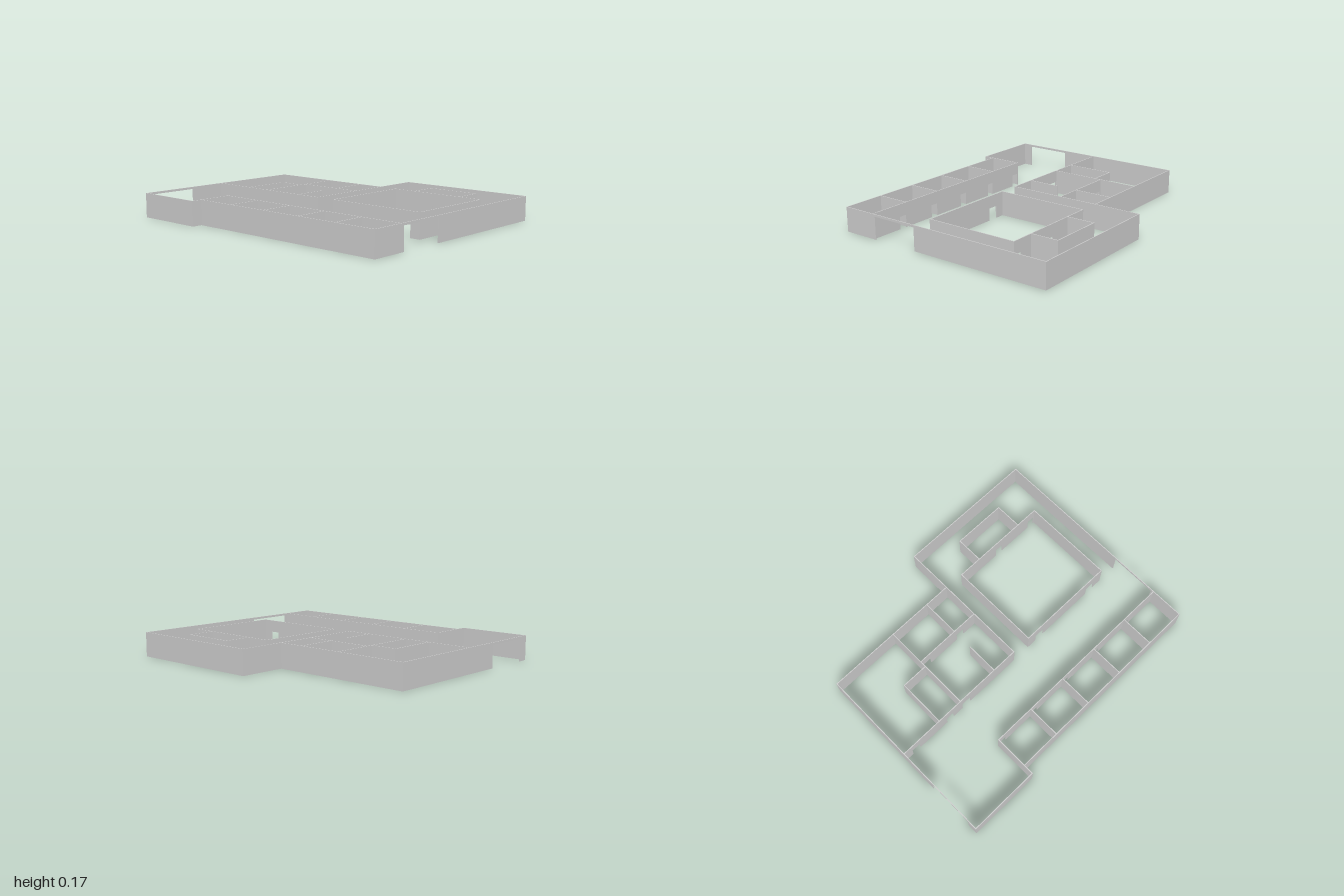
import * as THREE from 'three';

const H = 0.17;        // wall height
const T = 0.006;       // wall thickness
const DOOR = 0.085;    // door height
const GATE = 0.155;    // height of the wide passages

const material = new THREE.MeshStandardMaterial({ color: 0xcccccc, flatShading: true });

// A straight wall from a to b with openings [start, end, height] cut up from the floor.
// axis 'x': runs along x at z = at; axis 'z': runs along z at x = at.
function wall(name, axis, at, a, b, openings = []) {
  const shape = new THREE.Shape();
  shape.moveTo(a - T / 2, 0);
  for (const [s, e, h = DOOR] of openings) {
    shape.lineTo(s, 0);
    shape.lineTo(s, h);
    shape.lineTo(e, h);
    shape.lineTo(e, 0);
  }
  shape.lineTo(b + T / 2, 0);
  shape.lineTo(b + T / 2, H);
  shape.lineTo(a - T / 2, H);
  shape.closePath();
  const geometry = new THREE.ExtrudeGeometry(shape, { depth: T, bevelEnabled: false });
  geometry.translate(0, 0, -T / 2);
  if (axis === 'z') geometry.rotateY(-Math.PI / 2);
  const mesh = new THREE.Mesh(geometry, material);
  mesh.name = name;
  if (axis === 'x') mesh.position.z = at;
  else mesh.position.x = at;
  return mesh;
}

function section(name, ...walls) {
  const group = new THREE.Group();
  group.name = name;
  group.add(...walls);
  return group;
}

export function createModel() {
  const model = new THREE.Group();
  model.name = 'floorPlan';
  const E = 0.997, N = -0.827, S = 0.827;

  // Outer shell with a wide passage at each end of the corridor
  model.add(section('outerWalls',
    wall('hallBackWall', 'x', N, 0, E),
    wall('leftOuterWall', 'z', E, N, 0.755, [[0.165, 0.5, GATE]]),
    wall('frontOuterWall', 'x', 0.755, -0.495, E),
    wall('frontStepWall', 'z', -0.495, 0.52, S),
    wall('entranceFrontWall', 'x', S, -E, -0.495),
    wall('rightOuterWall', 'z', -E, -0.5, S, [[0.425, 0.76, GATE]]),
    wall('wingBackWall', 'x', -0.5, -E, 0),
    wall('hallSideWall', 'z', 0, N, 0.16)));

  // Row of equal rooms along the front, each with a door in its corner
  const starts = [-0.495, -0.2, 0.1, 0.4, 0.7];
  const frontRooms = section('frontRooms',
    wall('frontCorridorWall', 'x', 0.52, -0.495, E, starts.map(x => [x + 0.008, x + 0.064])));
  for (const x of starts.slice(1)) frontRooms.add(wall('frontRoomDivider', 'z', x, 0.52, 0.755));
  model.add(frontRooms);

  // Large inner hall and the alcove behind it
  model.add(section('innerHall',
    wall('hallFrontWall', 'x', 0.16, 0.14, 0.855, [[0.21, 0.285], [0.71, 0.785]]),
    wall('hallRearWall', 'x', -0.495, 0.14, 0.855, [[0.47, 0.53], [0.79, 0.845]]),
    wall('hallRightWall', 'z', 0.14, -0.495, 0.16),
    wall('hallLeftWall', 'z', 0.855, -0.495, 0.16),
    wall('alcoveBackWall', 'x', -0.69, 0.31, 0.69),
    wall('alcoveRightWall', 'z', 0.31, -0.69, -0.495),
    wall('alcoveLeftWall', 'z', 0.69, -0.69, -0.495)));

  // Smaller rooms of the wing
  model.add(section('wingRooms',
    wall('wingCorridorWall', 'x', 0.16, -E, 0, [[-0.935, -0.87], [-0.627, -0.565], [-0.485, -0.41]]),
    wall('wingMainDivider', 'z', -0.495, -0.5, 0.16),
    wall('rearRoomsWall', 'x', -0.225, -0.495, 0, [[-0.48, -0.415], [-0.172, -0.11]]),
    wall('rearRoomDivider', 'z', -0.185, -0.5, -0.225),
    wall('partialDivider', 'z', -0.185, -0.07, 0.16),
    wall('closetSideWall', 'z', -0.685, -0.18, 0.16),
    wall('closetBackWall', 'x', -0.18, -0.685, -0.495)));

  return model;
}
